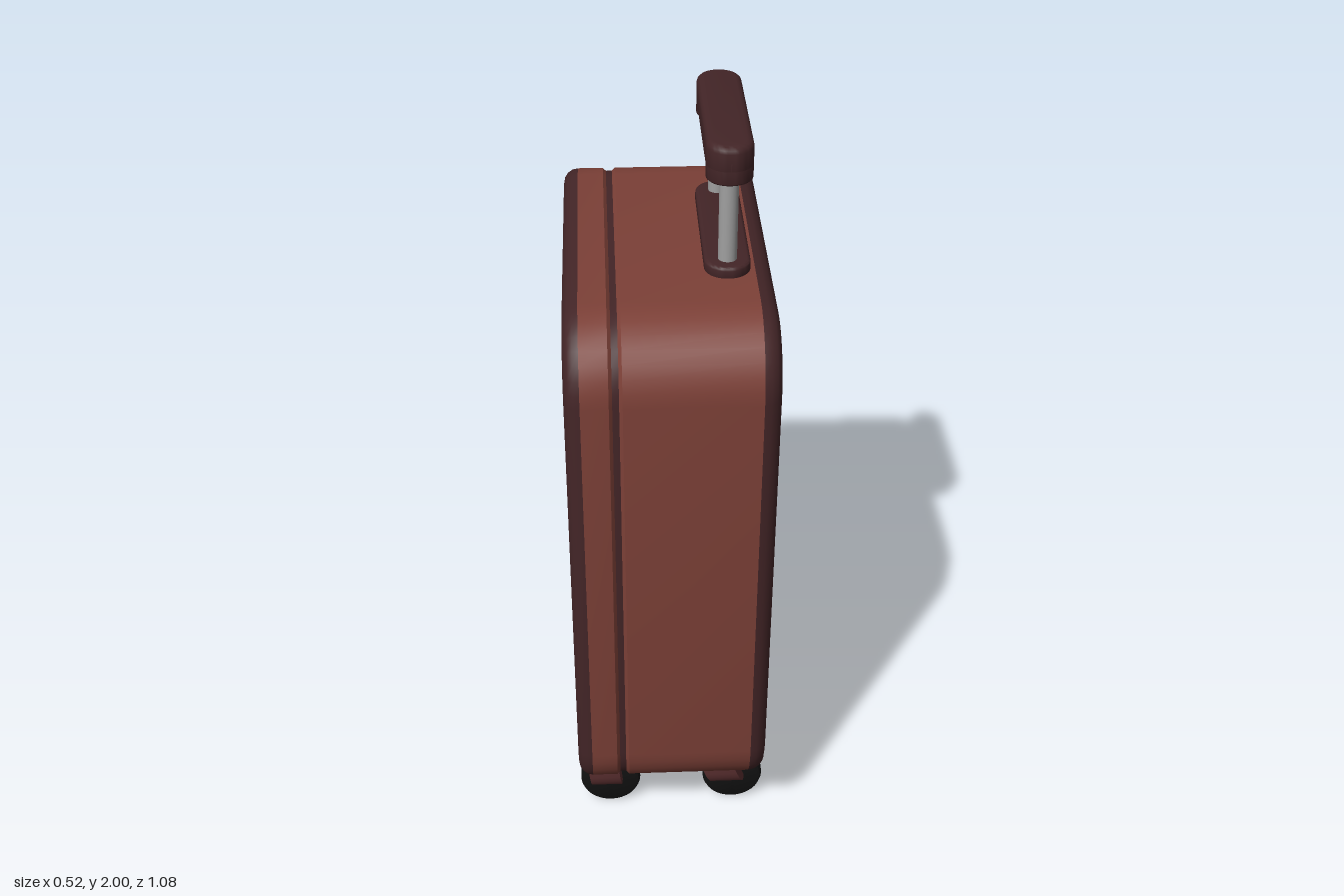
import * as THREE from 'three';
import { toCreasedNormals } from 'three/addons/utils/BufferGeometryUtils.js';

const colour = (name, hex) => {
  const m = new THREE.MeshStandardMaterial({ color: hex });
  m.name = name;
  return m;
};

// Counter-clockwise outline of a rounded rectangle centred on the origin
function outline(w, h, r, seg = 8) {
  const pts = [];
  const corners = [[1, 1], [-1, 1], [-1, -1], [1, -1]];
  corners.forEach(([sx, sy], c) => {
    for (let i = 0; i <= seg; i++) {
      const a = (c + i / seg) * Math.PI / 2;
      pts.push(new THREE.Vector2(sx * (w / 2 - r) + r * Math.cos(a), sy * (h / 2 - r) + r * Math.sin(a)));
    }
  });
  return pts;
}

const W = 1.037, H = 1.48, R = 0.18, BEVEL = 0.038;
const caseOutline = (inset) => outline(W - 2 * inset, H - 2 * inset, R - inset);

// Skin running round the case; profile rows are [x, inset] with x increasing
function band(profile) {
  const pos = [], index = [];
  let n = 0;
  profile.forEach(([x, inset]) => {
    const ring = caseOutline(inset);
    n = ring.length;
    ring.forEach((p) => pos.push(x, p.y, p.x));
  });
  for (let j = 0; j < profile.length - 1; j++) {
    for (let i = 0; i < n; i++) {
      const k = (i + 1) % n;
      const a = j * n + i, b = a + n, c = (j + 1) * n + k, d = j * n + k;
      index.push(a, b, c, a, c, d);
    }
  }
  const g = new THREE.BufferGeometry();
  g.setAttribute('position', new THREE.Float32BufferAttribute(pos, 3));
  g.setIndex(index);
  return toCreasedNormals(g, 0.5);
}

// Upright slab with a rounded plan, w along x and d along z, resting at y = 0
function slab(w, d, h, r, bevel) {
  const shape = new THREE.Shape(outline(w - 2 * bevel, d - 2 * bevel, r - bevel, 10));
  const g = new THREE.ExtrudeGeometry(shape, {
    depth: h - 2 * bevel, bevelEnabled: true, bevelSize: bevel, bevelThickness: bevel, bevelSegments: 3,
  });
  g.translate(0, 0, bevel).rotateX(-Math.PI / 2);
  return toCreasedNormals(g, 0.6);
}

export function createModel() {
  const shell = colour('russet shell', 0x7c4037);
  const trim = colour('dark maroon trim', 0x432527);
  const bracket = colour('maroon bracket', 0x5c3031);
  const rubber = colour('black rubber', 0x121212);
  const metal = colour('grey metal', 0xa0a0a0);

  const model = new THREE.Group();
  model.name = 'suitcase';
  const add = (parent, name, geometry, material, x = 0, y = 0, z = 0) => {
    const m = new THREE.Mesh(geometry, material);
    m.name = name;
    m.position.set(x, y, z);
    parent.add(m);
    return m;
  };

  // Case
  const body = new THREE.Group();
  body.name = 'case';
  body.position.set(0, 0.925, 0.0235);
  model.add(body);
  add(body, 'lidShell', band([[-0.222, 0], [-0.155, 0], [-0.147, 0.008]]), shell);
  add(body, 'seam', band([[-0.147, 0.008], [-0.131, 0.008]]), trim);
  add(body, 'mainShell', band([[-0.131, 0.008], [-0.123, 0], [0.205, 0]]), shell);

  // Rounded dark rims
  const grooveSideRim = [], plainSideRim = [];
  for (let i = 0; i <= 4; i++) {
    const a = (i / 4) * Math.PI / 2;
    grooveSideRim.push([0.205 + 0.043 * Math.sin(a), BEVEL * (1 - Math.cos(a))]);
    plainSideRim.unshift([-0.222 - 0.038 * Math.sin(a), BEVEL * (1 - Math.cos(a))]);
  }
  add(body, 'grooveSideRim', band(grooveSideRim), trim);
  add(body, 'plainSideRim', band(plainSideRim), trim);

  // Plain panel, and the panel with four sunken grooves
  const plain = new THREE.ShapeGeometry(new THREE.Shape(caseOutline(BEVEL)));
  add(body, 'plainPanel', plain.rotateY(-Math.PI / 2), shell, -0.26);
  const face = new THREE.Shape(caseOutline(BEVEL));
  for (const z of [-0.338, -0.12, 0.124, 0.342]) {
    const slot = outline(0.074, 1.145, 0.032).map((p) => p.add(new THREE.Vector2(-z, 0.003)));
    face.holes.push(new THREE.Path(slot));
    const floor = new THREE.ShapeGeometry(new THREE.Shape(outline(0.076, 1.147, 0.033)));
    add(body, 'grooveFloor', floor.rotateY(Math.PI / 2), trim, 0.23, 0.003, z);
  }
  const grooved = new THREE.ExtrudeGeometry(face, { depth: 0.02, bevelEnabled: false });
  add(body, 'groovedPanel', toCreasedNormals(grooved.rotateY(Math.PI / 2), 0.5), shell, 0.228);

  // Telescopic handle
  const pull = new THREE.Group();
  pull.name = 'pullHandle';
  pull.position.set(0.138, 0, 0.0235);
  model.add(pull);
  add(pull, 'handleBase', slab(0.112, 0.476, 0.035, 0.055, 0.008), trim, 0, 1.657);
  add(pull, 'grip', slab(0.112, 0.476, 0.075, 0.055, 0.016), trim, 0, 1.925);
  for (const s of [-1, 1]) {
    add(pull, 'gripEnd', slab(0.112, 0.112, 0.06, 0.055, 0.004), trim, 0, 1.905, s * 0.182);
    add(pull, 'rod', new THREE.CylinderGeometry(0.023, 0.023, 0.26, 20), metal, 0, 1.8, s * 0.184);
  }

  // Bowed carrying handle on the narrow side
  const bow = new THREE.Shape();
  bow.moveTo(-0.01, -0.197);
  bow.lineTo(0.012, -0.197);
  bow.quadraticCurveTo(0.075, 0, 0.012, 0.197);
  bow.lineTo(-0.01, 0.197);
  bow.lineTo(-0.01, 0.165);
  bow.quadraticCurveTo(0.053, 0, -0.01, -0.165);
  const strap = new THREE.ExtrudeGeometry(bow, {
    depth: 0.068, bevelEnabled: true, bevelSize: 0.004, bevelOffset: -0.004,
    bevelThickness: 0.006, bevelSegments: 2, curveSegments: 16,
  });
  strap.translate(0, 0, -0.034).rotateY(Math.PI / 2);
  add(model, 'carryHandle', toCreasedNormals(strap, 0.5), trim, -0.04, 0.913, -0.498);

  // Combination lock
  add(model, 'lockPlate', new THREE.BoxGeometry(0.08, 0.118, 0.02), trim, -0.065, 1.298, -0.498);
  for (const y of [1.336, 1.298, 1.26]) {
    add(model, 'lockDial', new THREE.BoxGeometry(0.045, 0.018, 0.02), metal, -0.07, y, -0.505);
  }

  // Wheel: rounded tyre turning about z
  const tyre = new THREE.LatheGeometry([
    [0, -0.036], [0.07, -0.036], [0.08, -0.031], [0.085, -0.02],
    [0.085, 0.02], [0.08, 0.031], [0.07, 0.036], [0, 0.036],
  ].map(([r, y]) => new THREE.Vector2(r, y)), 32);
  const wheelGeometry = toCreasedNormals(tyre.rotateX(Math.PI / 2), 0.6);

  // Wheel housing: half disc hung under the case, leaning outwards as it drops
  function housing(inner, outer, lean) {
    const half = new THREE.Shape();
    half.moveTo(0.102, 0.02);
    half.lineTo(-0.102, 0.02);
    half.lineTo(-0.102, -0.02);
    half.bezierCurveTo(-0.095, -0.07, -0.06, -0.097, 0, -0.097);
    half.bezierCurveTo(0.06, -0.097, 0.095, -0.07, 0.102, -0.02);
    const g = new THREE.ExtrudeGeometry(half, { depth: outer - inner, bevelEnabled: false, curveSegments: 8 });
    g.rotateY(Math.PI / 2).translate(inner, 0, 0);
    const p = g.attributes.position;
    for (let i = 0; i < p.count; i++) p.setX(i, p.getX(i) - lean * p.getY(i));
    return toCreasedNormals(g, 0.5);
  }

  for (const z of [0.335, -0.288]) {
    for (const s of [-1, 1]) {
      const caster = new THREE.Group();
      caster.name = 'caster';
      caster.position.set(s * 0.175, 0, z);
      model.add(caster);
      add(caster, 'wheel', wheelGeometry, rubber, 0, 0.085, 0);
      const geometry = s > 0 ? housing(-0.09, 0.0, 0.35) : housing(-0.06, 0.025, 0.1);
      add(caster, 'wheelHousing', geometry, bracket, 0, 0.187, 0);
    }
  }
  return model;
}
